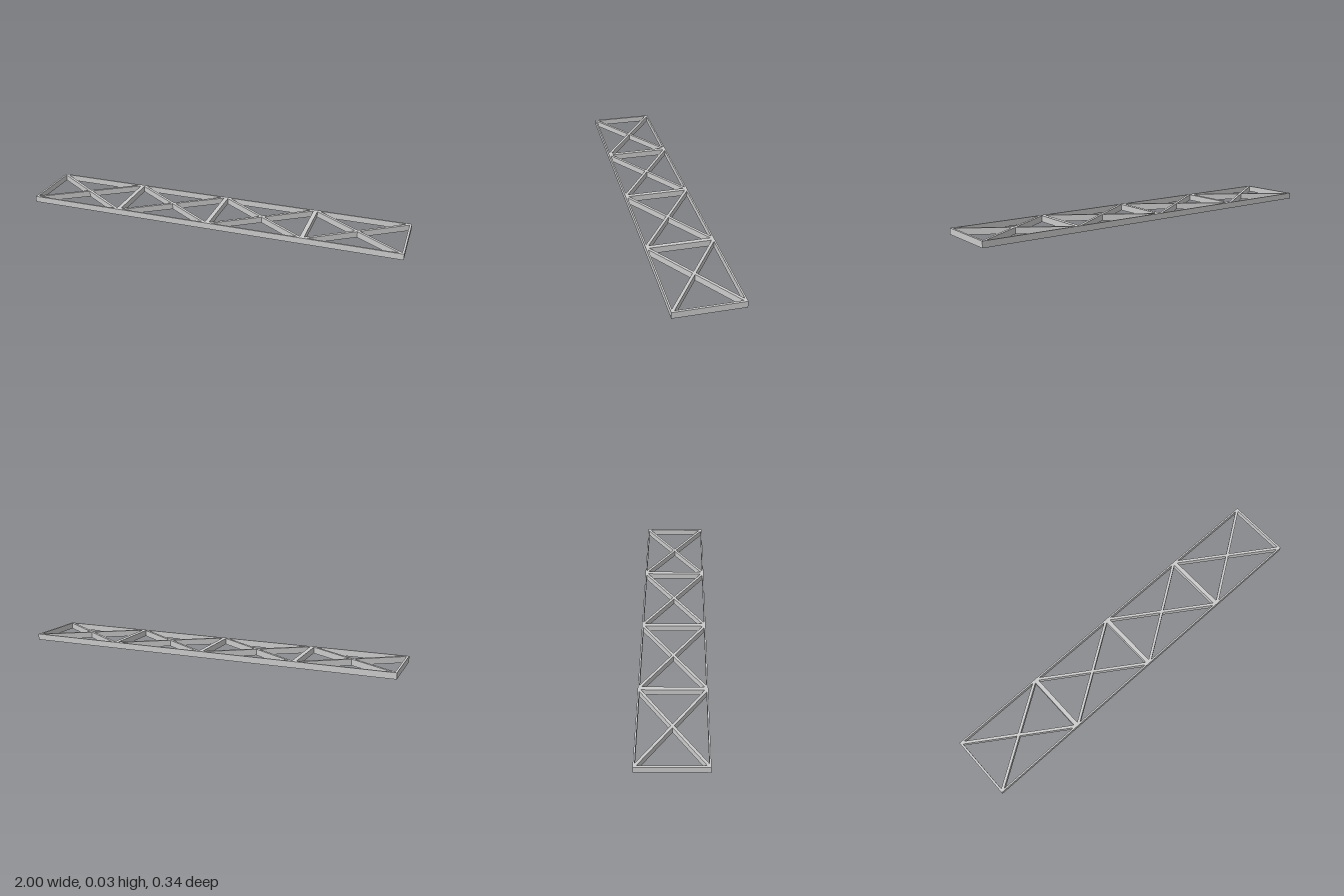
import * as THREE from 'three';

export function createModel() {
  const group = new THREE.Group();
  const material = new THREE.MeshStandardMaterial({ color: 0xcccccc, flatShading: true });
  const H = 0.032, halfX = 1, halfZ = 0.169;
  const railT = 0.008, endT = 0.011, crossT = 0.022, braceT = 0.014;
  const bays = 4, bay = (2 * halfX) / bays;

  // Flat bar of full truss height, centred at (x, z), turned about y
  function bar(name, length, thickness, x, z, angle = 0) {
    const mesh = new THREE.Mesh(new THREE.BoxGeometry(length, H, thickness), material);
    mesh.name = name;
    mesh.position.set(x, H / 2, z);
    mesh.rotation.y = angle;
    group.add(mesh);
  }

  // Long side rails
  for (const s of [-1, 1]) bar(s > 0 ? 'frontRail' : 'backRail', 2 * halfX, railT, 0, s * (halfZ - railT / 2));

  // End bars and the thicker cross bars between bays
  const span = 2 * (halfZ - railT);
  for (const s of [-1, 1]) bar(s > 0 ? 'leftEndBar' : 'rightEndBar', span, endT, s * (halfX - endT / 2), 0, Math.PI / 2);
  for (let i = 1; i < bays; i++) bar('crossBar' + i, span, crossT, -halfX + i * bay, 0, Math.PI / 2);

  // Crossed diagonal braces in every bay
  const dx = bay / 2 - 0.009, dz = halfZ - 0.007;
  for (let i = 0; i < bays; i++) {
    for (const s of [-1, 1]) {
      bar('diagonalBrace', 2 * Math.hypot(dx, dz), braceT, -halfX + (i + 0.5) * bay, 0, s * Math.atan2(dz, dx));
    }
  }
  return group;
}
